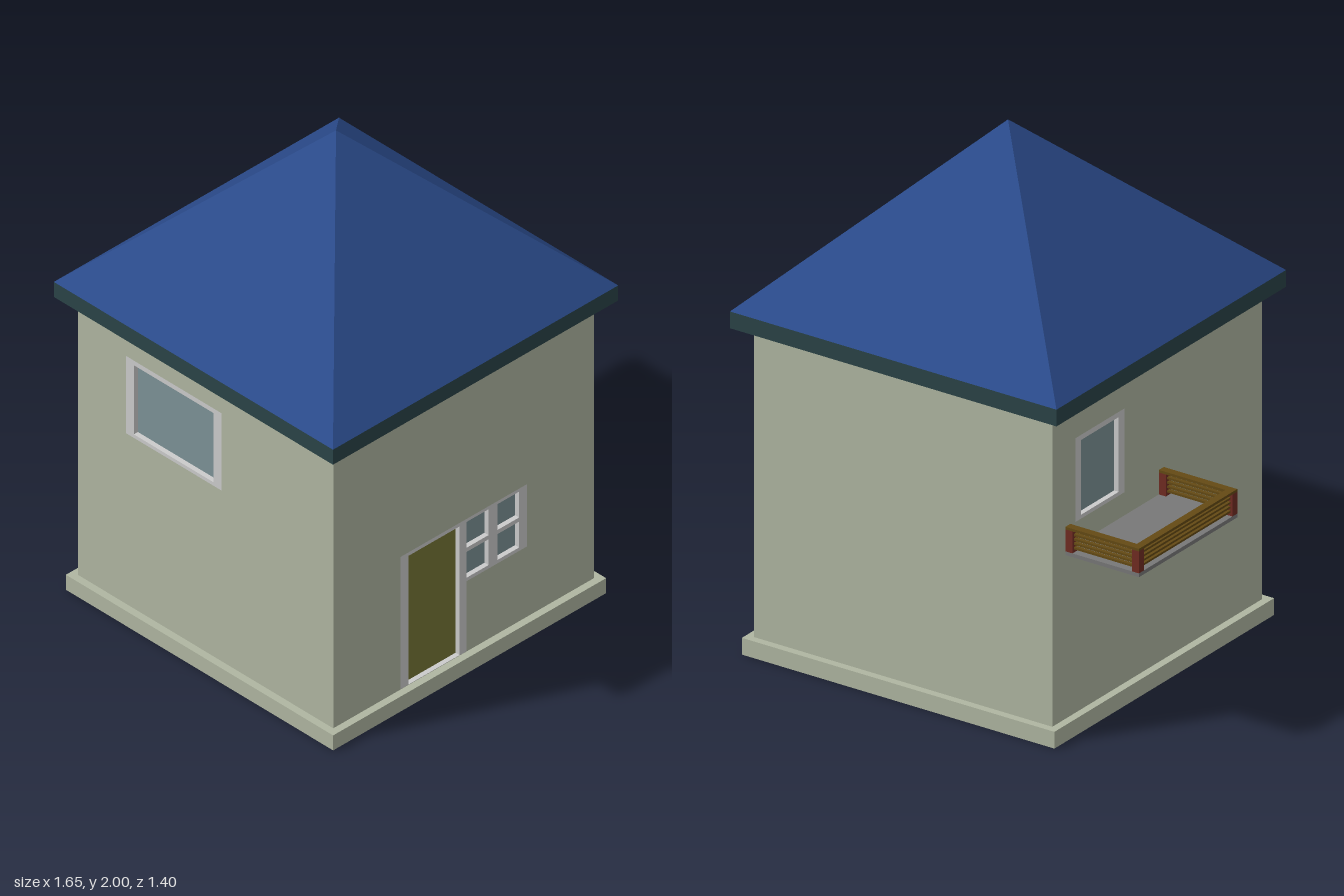
import * as THREE from 'three';

const mat = (color) => new THREE.MeshStandardMaterial({ color, flatShading: true });
const M = {
  wall: mat(0xafb6a1), roof: mat(0x2a4a8a), fascia: mat(0x2a4347), frame: mat(0xcccccc),
  glass: mat(0x7c9296), door: mat(0x757535), deck: mat(0x787878), post: mat(0x702c22), rail: mat(0x644a14),
};
const HALF = 0.64, T = 0.03, BASE = 0.065, EAVE = 1.27; // wall half width, thickness, heights

function add(parent, name, geometry, material) {
  const mesh = new THREE.Mesh(geometry, material);
  mesh.name = name;
  parent.add(mesh);
  return mesh;
}

// Box given by its two extreme corners
function box(parent, name, material, [x0, y0, z0], [x1, y1, z1]) {
  const m = add(parent, name, new THREE.BoxGeometry(x1 - x0, y1 - y0, z1 - z0), material);
  m.position.set((x0 + x1) / 2, (y0 + y1) / 2, (z0 + z1) / 2);
  return m;
}

const points = (list) => list.map(([x, y]) => new THREE.Vector2(x, y));
const rect = ([x0, y0, x1, y1]) => [[x0, y0], [x1, y0], [x1, y1], [x0, y1]];

// Flat plate with cut-outs, extruded along z
function plate(outline, holes, depth) {
  const shape = new THREE.Shape(points(outline));
  for (const h of holes) shape.holes.push(new THREE.Path(points(h)));
  return new THREE.ExtrudeGeometry(shape, { depth, bevelEnabled: false });
}

// One wall facing local +z, with an optional framed opening and its recessed panels
function wall(parent, name, angle, halfWidth, opening) {
  const side = new THREE.Group();
  side.name = name;
  side.rotation.y = angle;
  parent.add(side);
  const holes = opening ? [opening.outline] : [];
  const body = plate(rect([-halfWidth, BASE, halfWidth, EAVE]), holes, T);
  add(side, 'wallPanel', body, M.wall).position.z = HALF - T;
  if (!opening) return;
  const frame = plate(opening.outline, opening.panels.map((p) => rect(p.area)), T);
  add(side, 'frame', frame, M.frame).position.z = HALF - T;
  for (const { name: label, area: [x0, y0, x1, y1], material } of opening.panels) {
    box(side, label, material, [x0, y0, HALF - 0.027], [x1, y1, HALF - 0.02]);
  }
}

const pane = (...area) => ({ name: 'windowPane', area, material: M.glass });

function createHouse() {
  const house = new THREE.Group();
  house.name = 'house';

  // Hollow plinth, open underneath
  const b = HALF + T, i = HALF - T;
  const plinth = add(house, 'plinth', plate(rect([-b, -b, b, b]), [rect([-i, -i, i, i])], BASE), M.wall);
  plinth.rotation.x = -Math.PI / 2;

  // Front wall with wide window (x is shifted by the house offset)
  wall(house, 'frontWall', 0, HALF, {
    outline: rect([-0.4, 0.805, 0.08, 1.14]),
    panels: [pane(-0.36, 0.82, 0.04, 1.12)],
  });
  wall(house, 'backWall', Math.PI, HALF);

  // Door side: one frame around the door and a four-pane window
  const panels = [{ name: 'door', area: [-0.27, BASE + 0.002, -0.02, 0.625], material: M.door }];
  for (const x of [0.015, 0.165]) {
    for (const y of [0.385, 0.515]) panels.push(pane(x, y, x + 0.107, y + 0.112));
  }
  wall(house, 'doorWall', Math.PI / 2, i, {
    outline: [[-0.31, BASE + 0.001], [0.013, BASE + 0.001], [0.013, 0.37], [0.31, 0.37], [0.31, 0.64], [-0.31, 0.64]],
    panels,
  });

  // Balcony side with a smaller window
  wall(house, 'balconyWall', -Math.PI / 2, i, {
    outline: rect([-0.5, 0.805, -0.2, 1.13]),
    panels: [pane(-0.465, 0.82, -0.235, 1.11)],
  });

  // Eaves and pyramid roof
  const e = 0.7, eaveTop = 1.335;
  box(house, 'fascia', M.fascia, [-e, EAVE, -e], [e, eaveTop, e]);
  const cone = new THREE.ConeGeometry(e * Math.SQRT2, 2 - eaveTop, 4, 1, true);
  cone.rotateY(Math.PI / 4);
  add(house, 'roof', cone, M.roof).position.y = (2 + eaveTop) / 2;
  return house;
}

function createBalcony() {
  const balcony = new THREE.Group();
  balcony.name = 'balcony';
  const x0 = -0.83, x1 = -0.515, z0 = -0.56, z1 = 0.04, w = 0.03;
  const floor = 0.715, top = 0.81, cap = 0.8;
  box(balcony, 'deck', M.deck, [x0, 0.7, z0], [x1, floor, z1]);

  // Corner posts
  for (const x of [x0, x1 - w]) {
    for (const z of [z0, z1 - w]) box(balcony, 'post', M.post, [x, floor, z], [x + w, cap, z + w]);
  }

  // Top rails and slats on the three open sides
  const bars = [[cap, top]];
  for (let n = 0; n < 4; n++) bars.push([0.728 + n * 0.017, 0.736 + n * 0.017]);
  bars.forEach(([y0, y1], n) => {
    const name = n ? 'slat' : 'topRail';
    const inset = n ? 0.008 : 0;
    const cut = n ? w : 0;
    for (const z of [z0, z1 - w]) {
      box(balcony, name, M.rail, [x0 + w, y0, z + inset], [x1 - cut, y1, z + w - inset]);
    }
    box(balcony, name, M.rail, [x0 + inset, y0, z0 + cut], [x0 + w - inset, y1, z1 - cut]);
  });
  return balcony;
}

export function createModel() {
  const model = new THREE.Group();
  model.name = 'houseWithBalcony';
  const house = createHouse();
  house.position.x = 0.125;
  model.add(house, createBalcony());
  return model;
}
